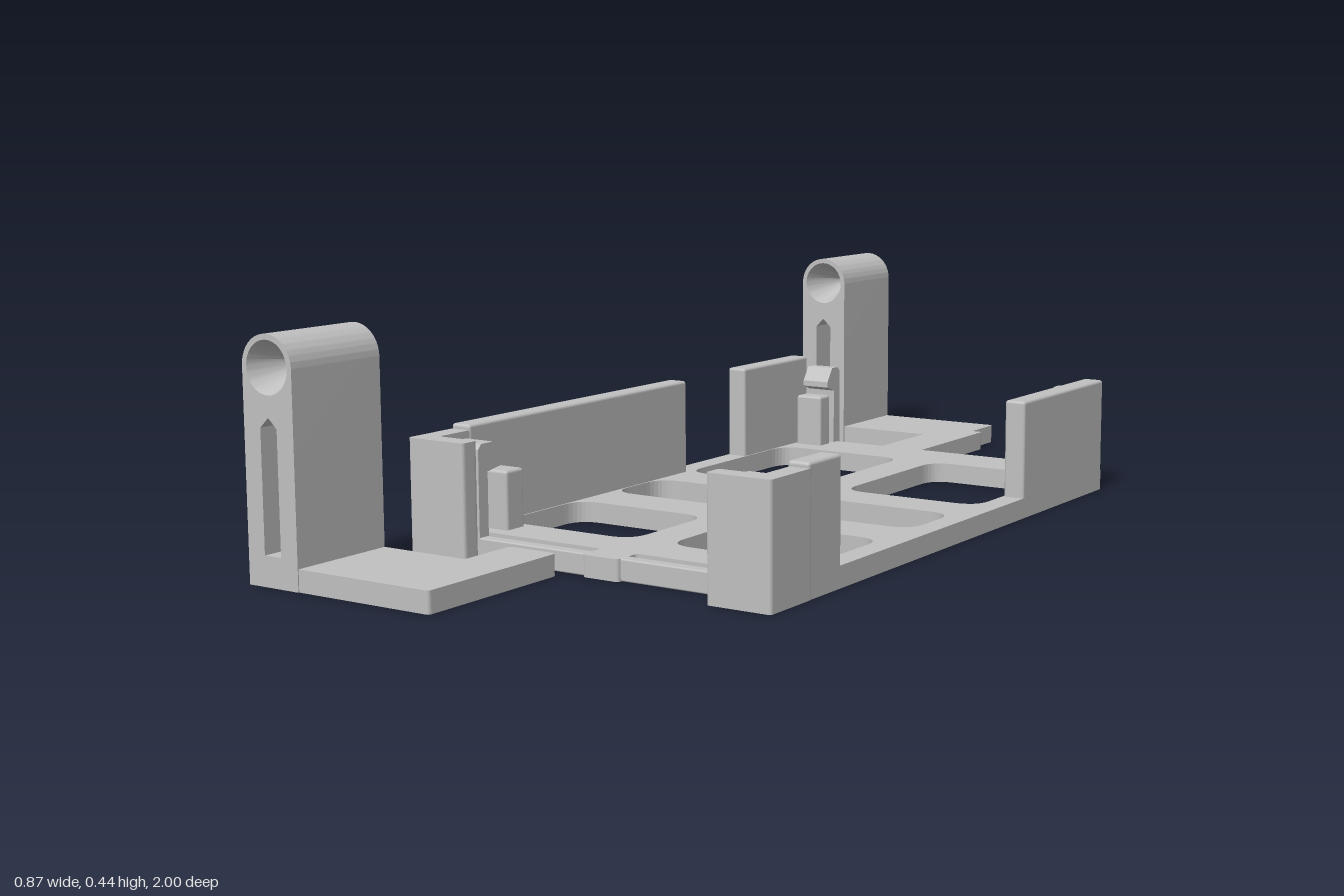
import * as THREE from 'three';
import { toCreasedNormals } from 'three/addons/utils/BufferGeometryUtils.js';
import { RoundedBoxGeometry } from 'three/addons/geometries/RoundedBoxGeometry.js';

const grey = new THREE.MeshStandardMaterial({ color: 0xc0c0c0 });
grey.name = 'grey plastic';

const PLATE = 0.04; // thickness of all flat plates
const MID = 0.048; // x of the tray's centre line

function add(parent, name, geometry) {
  const mesh = new THREE.Mesh(geometry, grey);
  mesh.name = name;
  parent.add(mesh);
  return mesh;
}

// Closed outline with rounded corners, from [a, b] points
function outline(points, r, Type = THREE.Shape) {
  const path = new Type();
  const n = points.length;
  const v = points.map((p) => new THREE.Vector2(...p));
  v.forEach((p, i) => {
    const before = v[(i + n - 1) % n].clone().sub(p).setLength(r).add(p);
    const after = v[(i + 1) % n].clone().sub(p).setLength(r).add(p);
    if (i === 0) path.moveTo(before.x, before.y);
    else path.lineTo(before.x, before.y);
    path.quadraticCurveTo(p.x, p.y, after.x, after.y);
  });
  path.closePath();
  return path;
}

const rect = (x0, x1, z0, z1) => [[x0, z0], [x1, z0], [x1, z1], [x0, z1]];
// Reversed as well as mirrored, so the outline stays counter-clockwise
const flip = (points) => points.map(([x, z]) => [x, -z]).reverse();

// Flat plate drawn in x, z and raised from the ground
function plate(points, height, r = 0.01, holes = [], holeR = 0.05) {
  const shape = outline(flip(points), r);
  shape.holes = holes.map((h) => outline(flip(h), holeR, THREE.Path));
  const g = new THREE.ExtrudeGeometry(shape, { depth: height, bevelEnabled: false, curveSegments: 8 });
  return g.rotateX(-Math.PI / 2);
}

// Box given by its limits
function block(x0, x1, y0, y1, z0, z1, r = 0.006) {
  const g = new RoundedBoxGeometry(x1 - x0, y1 - y0, z1 - z0, 2, r);
  return g.translate((x0 + x1) / 2, (y0 + y1) / 2, (z0 + z1) / 2);
}

// Profile drawn in z, y and extruded along x
function profile(points, x0, x1) {
  const shape = new THREE.Shape(points.map(([z, y]) => new THREE.Vector2(-z, y)));
  const g = new THREE.ExtrudeGeometry(shape, { depth: x1 - x0, bevelEnabled: false });
  return g.rotateY(Math.PI / 2).translate(x0, 0, 0);
}

// Slotted upright with a round head and a funnel sunk into both ends
function post(z0, z1) {
  const group = new THREE.Group();
  const cx = -0.378, cy = 0.378, R = 0.057, bore = 0.047, depth = z1 - z0;
  const shape = new THREE.Shape();
  shape.moveTo(cx - R, 0);
  shape.lineTo(cx + R, 0);
  shape.lineTo(cx + R, cy);
  shape.absarc(cx, cy, R, 0, Math.PI, false);
  shape.closePath();
  const slot = new THREE.Path([
    [-0.019, 0.055], [0.019, 0.055], [0.019, 0.275], [0, 0.293], [-0.019, 0.275],
  ].map(([x, y]) => new THREE.Vector2(cx + x, y)));
  const hole = new THREE.Path();
  hole.absarc(cx, cy, bore, 0, Math.PI * 2, true);
  shape.holes = [slot, hole];
  const body = new THREE.ExtrudeGeometry(shape, { depth, bevelEnabled: false, curveSegments: 32 });
  add(group, 'postBody', toCreasedNormals(body.translate(0, 0, z0), 0.5));
  // Each funnel narrows to a small flat floor near the middle
  for (const turn of [0, Math.PI]) {
    const funnel = new THREE.LatheGeometry([
      new THREE.Vector2(bore, depth / 2), new THREE.Vector2(0.007, 0.004), new THREE.Vector2(0, 0.004),
    ], 48);
    funnel.rotateX(Math.PI / 2 + turn).translate(cx, cy, (z0 + z1) / 2);
    add(group, 'postFunnel', toCreasedNormals(funnel, 0.5));
  }
  return group;
}

export function createModel() {
  const model = new THREE.Group();
  model.name = 'wallTray';

  // Tray floor with six windows and a centre tab at the front
  const windows = [];
  for (const [x0, x1] of [[-0.292, 0.007], [0.087, 0.387]])
    for (const [z0, z1] of [[-0.48, -0.105], [-0.005, 0.157], [0.265, 0.502]])
      windows.push(rect(x0, x1, z0, z1));
  add(model, 'trayFloor', plate([
    [-0.338, -0.588], [-0.31, -0.603], [0.405, -0.603], [0.432, -0.588], [0.432, 0.595], [0.087, 0.595],
    [0.087, 0.65], [0.009, 0.65], [0.009, 0.595], [-0.338, 0.595],
  ], PLATE, 0.01, windows));

  // Springy strip ahead of the floor
  add(model, 'frontStrip', block(-0.292, 0.388, 0, PLATE, 0.617, 0.642, 0.003));

  // Side walls
  const walls = [
    [-0.338, -0.295, -0.585, -0.325], [-0.338, -0.295, -0.105, 0.585],
    [0.389, 0.432, -0.585, -0.215], [0.389, 0.432, 0.48, 0.585],
  ];
  for (const [x0, x1, z0, z1] of walls) add(model, 'sideWall', block(x0, x1, 0, 0.232, z0, z1));

  // Corner guards, rests and hooks, mirrored about the centre line
  for (const side of [-1, 1]) {
    const at = (d) => MID + side * d;
    const span = (a, b) => [Math.min(at(a), at(b)), Math.max(at(a), at(b))];
    const guard = [
      [at(0.385), 0.575], [at(0.385), 0.703], [at(0.258), 0.703],
      [at(0.258), 0.664], [at(0.345), 0.664], [at(0.345), 0.575],
    ];
    add(model, 'cornerGuard', plate(guard, 0.222, 0.008));

    const [x0, x1] = span(0.275, 0.338);
    add(model, 'frontRest', block(x0, x1, 0.03, 0.15, 0.515, 0.565));
    add(model, 'rearRest', block(x0, x1, 0.03, 0.15, -0.572, -0.53));
    add(model, 'frontHook', profile([
      [0.642, 0], [0.642, 0.2], [0.634, 0.21], [0.6, 0.21],
      [0.573, 0.18], [0.573, 0.165], [0.617, 0.158], [0.617, 0],
    ], x0, x1));
    add(model, 'rearHook', profile([
      [-0.613, 0], [-0.588, 0], [-0.588, 0.158], [-0.56, 0.168],
      [-0.56, 0.18], [-0.58, 0.21], [-0.604, 0.21], [-0.613, 0.2],
    ], x0, x1));
  }

  // Front foot, a separate piece with its own post
  const frontFoot = new THREE.Group();
  frontFoot.name = 'frontFoot';
  add(frontFoot, 'frontFootPlate', plate([
    [-0.36, 0.788], [-0.137, 0.788], [-0.137, 0.668],
    [-0.033, 0.668], [-0.033, 0.998], [-0.36, 0.998],
  ], PLATE, 0.008));
  const frontPost = post(0.788, 1);
  frontPost.name = 'frontPost';
  frontFoot.add(frontPost);
  model.add(frontFoot);

  // Rear foot, joined to the tray by an arm
  const rearFoot = new THREE.Group();
  rearFoot.name = 'rearFoot';
  add(rearFoot, 'rearFootPlate', plate([
    [-0.36, -0.998], [-0.033, -0.998], [-0.033, -0.895], [-0.008, -0.895],
    [-0.008, -0.59], [-0.108, -0.59], [-0.108, -0.793], [-0.36, -0.793],
  ], PLATE, 0.008));
  const rearPost = post(-1, -0.79);
  rearPost.name = 'rearPost';
  rearFoot.add(rearPost);
  model.add(rearFoot);

  return model;
}
